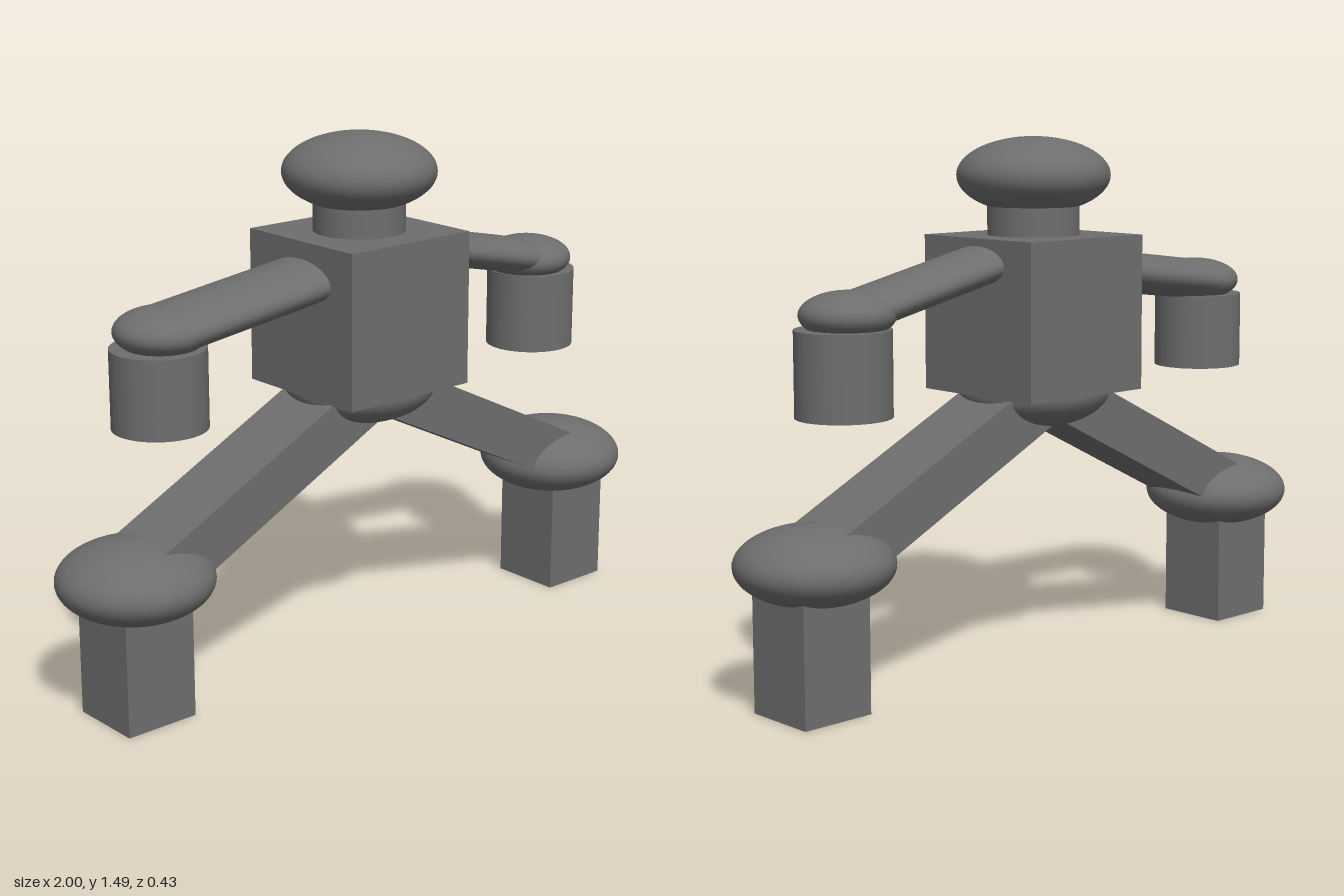
import * as THREE from 'three';

export function createModel() {
  const model = new THREE.Group();
  const material = new THREE.MeshStandardMaterial({ color: 0x6e6e6e });

  function add(name, geometry, x, y, z = 0) {
    const mesh = new THREE.Mesh(geometry, material);
    mesh.name = name;
    mesh.position.set(x, y, z);
    model.add(mesh);
    return mesh;
  }

  // Flattened ball used for the head and the joints
  const ball = (name, x, y, radius, height) =>
    add(name, new THREE.SphereGeometry(radius, 48, 32).scale(1, height / radius, 1), x, y);

  const post = (name, x, bottom, top, radius) =>
    add(name, new THREE.CylinderGeometry(radius, radius, top - bottom, 48), x, (bottom + top) / 2);

  // Limb whose length runs along its local x axis, between two points in the xy plane
  function limb(name, geometry, [x0, y0], [x1, y1]) {
    const mesh = add(name, geometry, (x0 + x1) / 2, (y0 + y1) / 2);
    mesh.scale.x = Math.hypot(x1 - x0, y1 - y0);
    mesh.rotation.z = Math.atan2(y1 - y0, x1 - x0);
  }

  // Flattened round bar of unit length along x
  const roundBar = (halfHeight, halfDepth) =>
    new THREE.CylinderGeometry(1, 1, 1, 48).rotateZ(Math.PI / 2).scale(1, halfHeight, halfDepth);

  // Trunk and head
  add('torso', new THREE.BoxGeometry(0.43, 0.435, 0.43), -0.002, 0.997);
  post('neck', -0.002, 1.2, 1.38, 0.129);
  ball('head', -0.002, 1.38, 0.215, 0.107);
  ball('hip', -0.002, 0.78, 0.215, 0.107);

  // Arms, each side posed a little differently
  const arms = [
    { side: 'right', shoulder: [-0.1, 1.12], elbow: [-0.68, 1.046], thick: 0.06, depth: 0.129, handX: -0.693, handY: 0.787 },
    { side: 'left', shoulder: [0.1, 1.165], elbow: [0.664, 1.04], thick: 0.052, depth: 0.11, handX: 0.68, handY: 0.773 },
  ];
  for (const { side, shoulder, elbow, thick, depth, handX, handY } of arms) {
    limb(`${side}UpperArm`, roundBar(thick, depth), shoulder, elbow);
    ball(`${side}Elbow`, ...elbow, 0.129, 0.064);
    post(`${side}Forearm`, handX, handY, 1.004, 0.129);
  }

  // Legs
  const legs = [
    { side: 'right', knee: [-0.787, 0.388], shinX: -0.79 },
    { side: 'left', knee: [0.784, 0.398], shinX: 0.798 },
  ];
  for (const { side, knee, shinX } of legs) {
    limb(`${side}Thigh`, new THREE.BoxGeometry(1, 0.145, 0.217), [0, 0.784], knee);
    ball(`${side}Knee`, ...knee, 0.214, 0.106);
    add(`${side}Shin`, new THREE.BoxGeometry(0.216, 0.38, 0.217), shinX, 0.19);
  }

  return model;
}
